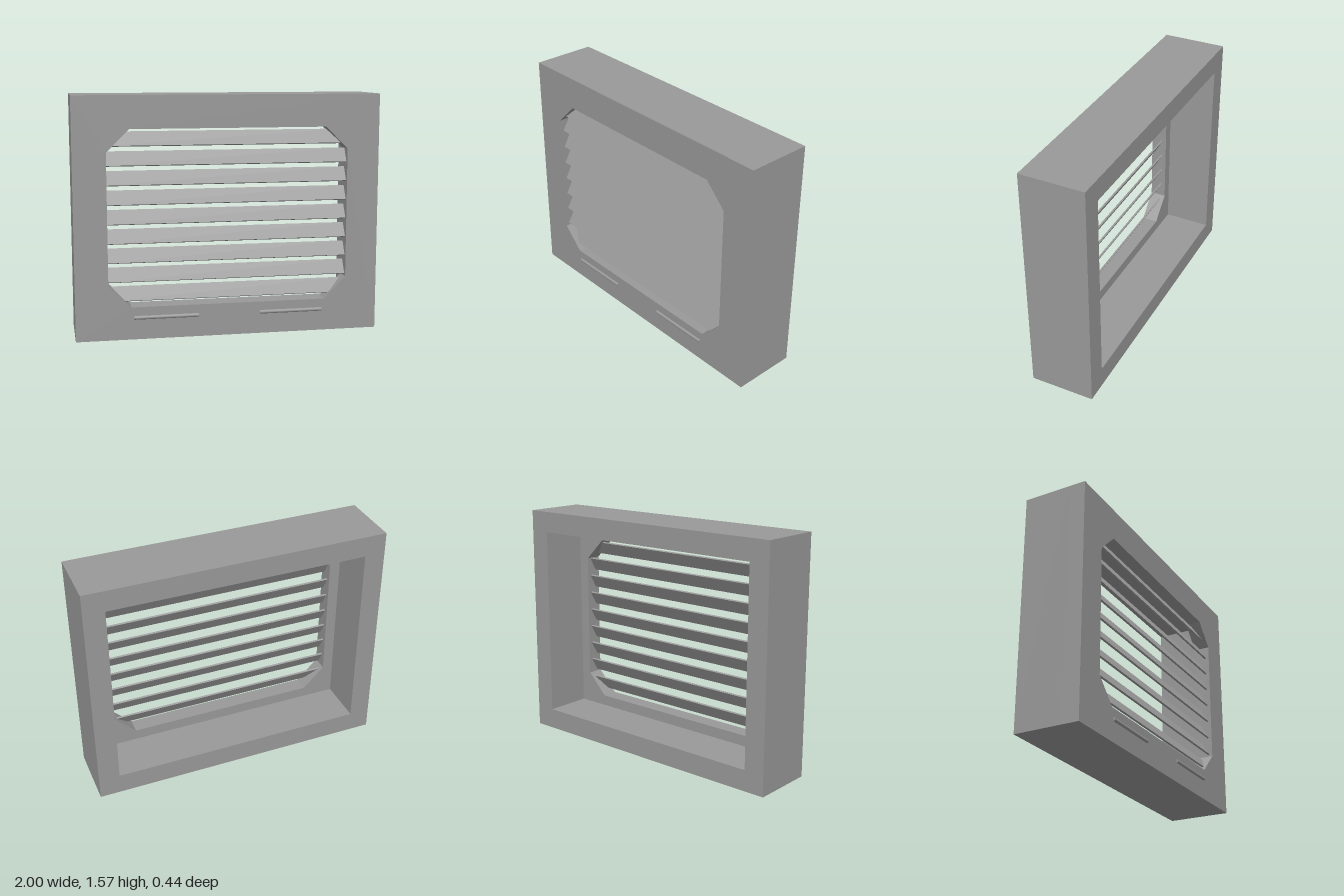
import * as THREE from 'three';

const material = new THREE.MeshStandardMaterial({ color: 0x999999, flatShading: true });
const smoothMaterial = new THREE.MeshStandardMaterial({ color: 0x999999 });

const WIDTH = 2, HEIGHT = 1.57;
const BACK = -0.219, STEP = 0.1, FRONT = 0.208;

// Rectangle with optional 45 degree corner cuts
function outline(Type, x, y0, y1, cut = 0) {
  const points = cut
    ? [[-x + cut, y0], [x - cut, y0], [x, y0 + cut], [x, y1 - cut],
       [x - cut, y1], [-x + cut, y1], [-x, y1 - cut], [-x, y0 + cut]]
    : [[-x, y0], [x, y0], [x, y1], [-x, y1]];
  return new Type(points.map(([px, py]) => new THREE.Vector2(px, py)));
}

// Housing slab between two depths, pierced by one opening
function slab(name, hole, z0, z1) {
  const shape = outline(THREE.Shape, WIDTH / 2, 0, HEIGHT);
  shape.holes.push(hole);
  const geometry = new THREE.ExtrudeGeometry(shape, { depth: z1 - z0, bevelEnabled: false });
  const mesh = new THREE.Mesh(geometry, material);
  mesh.name = name;
  mesh.position.z = z0;
  return mesh;
}

export function createModel() {
  const model = new THREE.Group();
  model.name = 'louvredVent';

  // Deep rear surround with a rectangular cavity, and a front plate with an octagonal window
  model.add(slab('rearSurround', outline(THREE.Path, 0.86, 0.14, 1.43), BACK, STEP));
  model.add(slab('frontPlate', outline(THREE.Path, 0.787, 0.213, 1.358, 0.146), STEP, FRONT));

  // Tilted slats, front edge low, ends set into the plate
  const slats = new THREE.Group();
  slats.name = 'slats';
  const slatGeometry = new THREE.BoxGeometry(1.59, 0.012, 0.101);
  for (let i = 0; i < 9; i++) {
    const slat = new THREE.Mesh(slatGeometry, material);
    slat.name = 'slat';
    slat.position.set(0, 0.293 + i * 0.125, 0.156);
    slat.rotation.x = Math.PI / 3;
    slats.add(slat);
  }
  model.add(slats);

  // Two thin round rods half sunk into the plate below the window
  const rodGeometry = new THREE.CylinderGeometry(0.0125, 0.0125, 0.419, 16).rotateZ(Math.PI / 2);
  for (const side of [-1, 1]) {
    const rod = new THREE.Mesh(rodGeometry, smoothMaterial);
    rod.name = side > 0 ? 'leftRod' : 'rightRod';
    rod.position.set(side * 0.414, 0.143, 0.207);
    model.add(rod);
  }
  return model;
}
